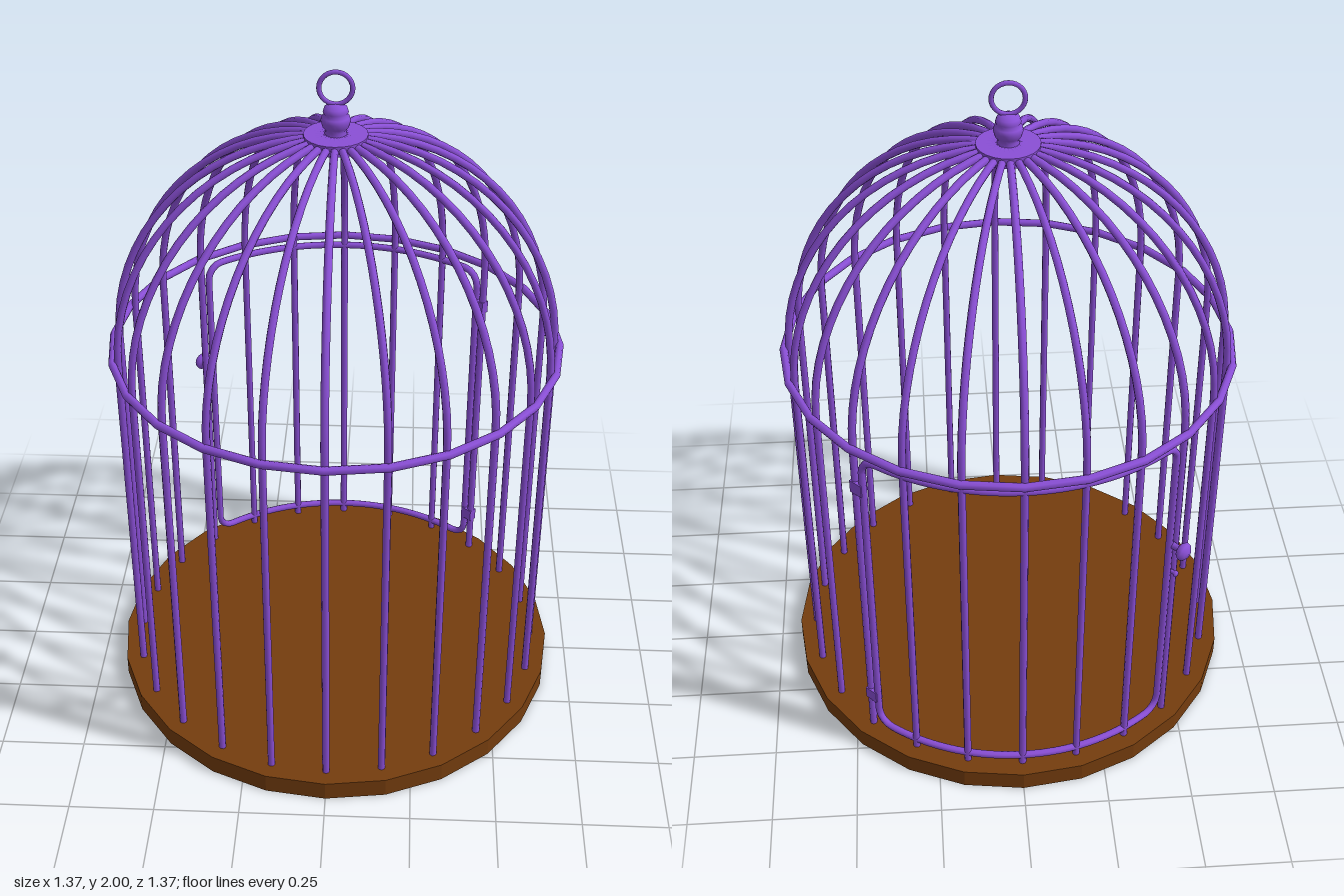
import * as THREE from 'three';

const purple = new THREE.MeshStandardMaterial({ color: 0x8a4fd6 });
purple.name = 'purple metal';
const brown = new THREE.MeshStandardMaterial({ color: 0x753d0e });
brown.name = 'brown wood';

const SIDES = 24, R = 0.632, RIM_Y = 1.17, DOME_H = 0.64, BASE_H = 0.06;

function add(parent, name, geometry, material = purple) {
  const mesh = new THREE.Mesh(geometry, material);
  mesh.name = name;
  parent.add(mesh);
  return mesh;
}

const lathe = (pts, n = 20) =>
  new THREE.LatheGeometry(pts.map(([x, y]) => new THREE.Vector2(x, y)), n);

// Upright bar that bends over into a quarter of the dome
function barGeometry() {
  const path = new THREE.CurvePath();
  const arc = [];
  for (let i = 0; i <= 14; i++) {
    const a = (i / 14) * Math.PI / 2;
    arc.push(new THREE.Vector3(0, RIM_Y + DOME_H * Math.sin(a), R * Math.cos(a)));
  }
  path.add(new THREE.LineCurve3(new THREE.Vector3(0, BASE_H - 0.01, R), arc[0]));
  path.add(new THREE.CatmullRomCurve3(arc));
  return new THREE.TubeGeometry(path, 36, 0.011, 8, false);
}

// Rounded rectangle wrapped around the back of the cage
function doorFrameGeometry() {
  const w = 0.468, y0 = 0.09, y1 = 1.142, c = 0.05;
  const s = new THREE.Shape();
  s.moveTo(-w + c, y0);
  s.lineTo(w - c, y0);
  s.absarc(w - c, y0 + c, c, -Math.PI / 2, 0);
  s.lineTo(w, y1 - c);
  s.absarc(w - c, y1 - c, c, 0, Math.PI / 2);
  s.lineTo(-w + c, y1);
  s.absarc(-w + c, y1 - c, c, Math.PI / 2, Math.PI);
  s.lineTo(-w, y0 + c);
  s.absarc(-w + c, y0 + c, c, Math.PI, Math.PI * 1.5);
  const pts = s.getSpacedPoints(160).slice(0, -1).map((p) => {
    const a = p.x / R;
    return new THREE.Vector3(R * Math.sin(a), p.y, -R * Math.cos(a));
  });
  return new THREE.TubeGeometry(new THREE.CatmullRomCurve3(pts, true), 200, 0.011, 8, true);
}

export function createModel() {
  const cage = new THREE.Group();
  cage.name = 'birdcage';

  // Wooden floor with crisp facets
  const floor = new THREE.CylinderGeometry(0.685, 0.685, BASE_H, SIDES).toNonIndexed();
  floor.computeVertexNormals();
  add(cage, 'base', floor, brown).position.y = BASE_H / 2;

  // Bars
  const bars = new THREE.Group();
  bars.name = 'bars';
  cage.add(bars);
  const bar = barGeometry();
  for (let i = 0; i < SIDES; i++) {
    add(bars, 'bar', bar).rotation.y = (i / SIDES) * Math.PI * 2;
  }

  // Hoop around the foot of the dome
  const hoop = add(cage, 'hoop', new THREE.TorusGeometry(0.648, 0.012, 8, SIDES));
  hoop.rotation.x = Math.PI / 2;
  hoop.position.y = RIM_Y;

  // Crown plate, finial and hanging ring
  const crown = new THREE.CylinderGeometry(0.088, 0.088, 0.03, SIDES).toNonIndexed();
  crown.computeVertexNormals();
  add(cage, 'crownPlate', crown).position.y = 1.803;
  add(cage, 'finial', lathe([
    [0.034, 1.81], [0.027, 1.828], [0.036, 1.84], [0.041, 1.857], [0.038, 1.868],
    [0.031, 1.874], [0.035, 1.882], [0.031, 1.894], [0.018, 1.903], [0, 1.906],
  ]));
  add(cage, 'hangingRing', new THREE.TorusGeometry(0.045, 0.007, 8, 28)).position.y = 1.948;

  // Door at the back, with hinges on one side and a latch on the other
  const door = new THREE.Group();
  door.name = 'door';
  cage.add(door);
  add(door, 'doorFrame', doorFrameGeometry());

  for (const y of [0.2, 1.03]) {
    const hinge = add(door, 'hinge', new THREE.BoxGeometry(0.042, 0.04, 0.026));
    const a = THREE.MathUtils.degToRad(44);
    hinge.position.set(R * Math.sin(a), y, -R * Math.cos(a));
    hinge.rotation.y = -a;
  }

  // Knob and small lock stud point straight out of the cage
  const latch = new THREE.Group();
  latch.name = 'latch';
  latch.rotation.y = Math.PI + THREE.MathUtils.degToRad(43);
  door.add(latch);
  const knob = add(latch, 'knob', lathe([
    [0.011, 0], [0.010, 0.03], [0.022, 0.035], [0.028, 0.044],
    [0.026, 0.053], [0.016, 0.061], [0, 0.064],
  ], 16));
  knob.rotation.x = Math.PI / 2;
  knob.position.set(0, 0.768, R);
  const stud = add(latch, 'lockStud', lathe([
    [0.006, 0], [0.006, 0.02], [0.01, 0.024], [0.008, 0.031], [0, 0.034],
  ], 12));
  stud.rotation.x = Math.PI / 2;
  stud.position.set(0, 0.668, R);

  return cage;
}
